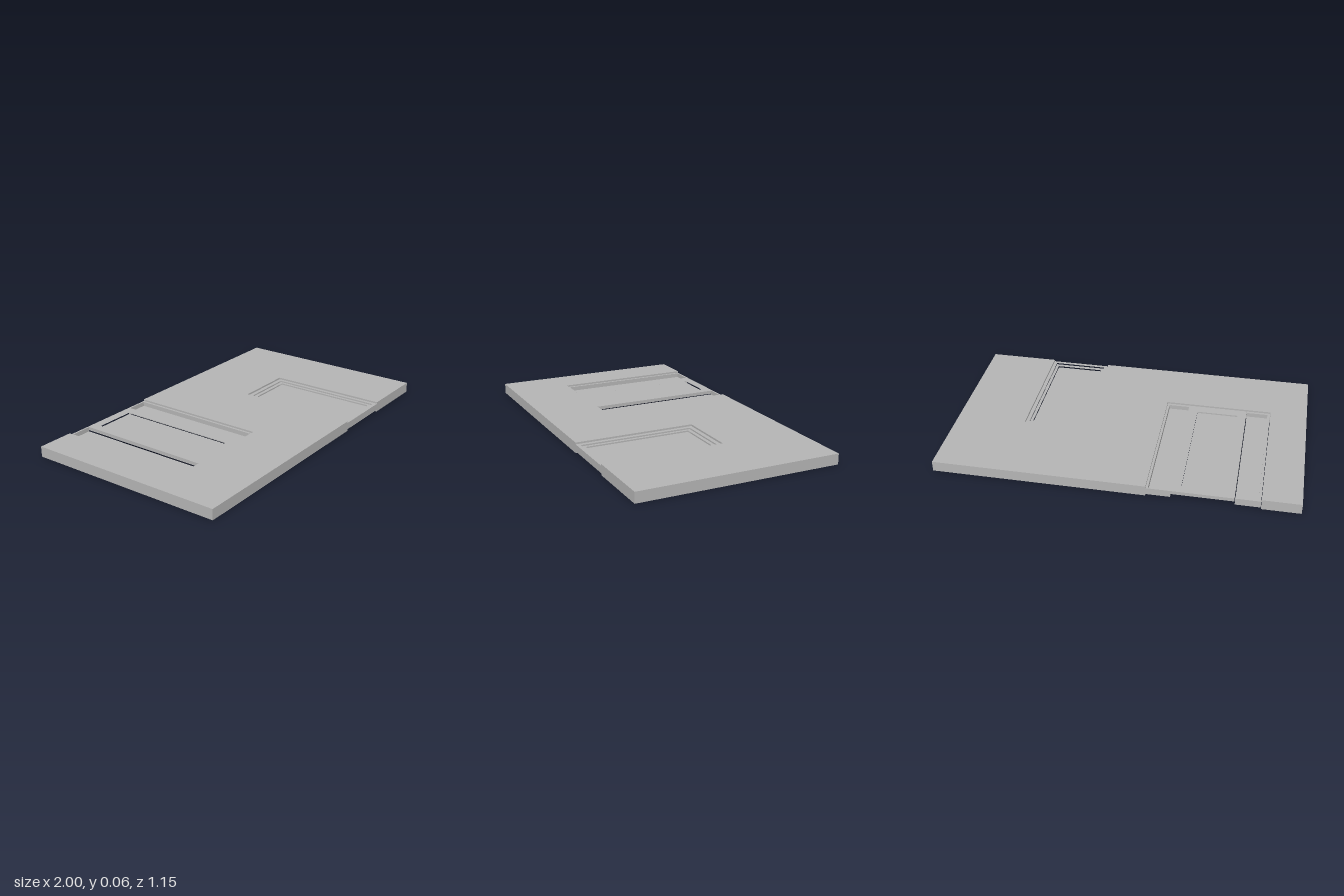
import * as THREE from 'three';

const grey = new THREE.MeshStandardMaterial({ color: 0xb4b4b4 });
grey.name = 'plain grey';

// corner points of a rectangle in plan, as [x, z]
const rect = (x0, x1, z0, z1) => [[x0, z0], [x1, z0], [x1, z1], [x0, z1]];
const toVec = (pts) => pts.map(([x, z]) => new THREE.Vector2(x, -z));

// flat plate lying in plan between heights y0 and y1, with optional holes
function plate(name, outline, y0, y1, holes = []) {
  const shape = new THREE.Shape(toVec(outline));
  holes.forEach((h) => shape.holes.push(new THREE.Path(toVec(h))));
  const geo = new THREE.ExtrudeGeometry(shape, { depth: y1 - y0, bevelEnabled: false });
  geo.rotateX(-Math.PI / 2).translate(0, y0, 0);
  const mesh = new THREE.Mesh(geo, grey);
  mesh.name = name;
  return mesh;
}

export function createModel() {
  const model = new THREE.Group();
  model.name = 'wallPanel';
  const Z = 0.577;

  // wall slab, notched on both long edges for the two openings
  model.add(plate('wall', [
    [-1, -Z], [-0.79, -Z], [-0.79, 0.23], [-0.18, 0.23], [-0.18, -Z], [1, -Z],
    [1, Z], [0.605, Z], [0.605, -0.12], [0.255, -0.12], [0.255, Z], [-1, Z],
  ], 0, 0.06));

  // wide opening: centre panel on the upper track, side panels on the lower one
  const wide = new THREE.Group();
  wide.name = 'wideDoor';
  const centreHole = rect(-0.6, -0.365, -0.525, 0.175);
  wide.add(plate('centrePanelFrame', rect(-0.65, -0.31, -Z, 0.23), 0.03, 0.05, [centreHole]));
  wide.add(plate('centrePanelInset', centreHole, 0.035, 0.042));
  for (const side of [-1, 1]) {
    const x = (d) => -0.483 + side * d;
    const [outer, rim, inner] = [x(0.305), x(0.29), x(0.17)];
    // rim runs round three sides and is open towards the centre panel
    wide.add(plate('sidePanelRim', [
      [inner, -Z], [outer, -Z], [outer, 0.23], [inner, 0.23],
      [inner, 0.215], [rim, 0.215], [rim, -0.567], [inner, -0.567],
    ], 0.01, 0.05));
    wide.add(plate('sidePanelInset', rect(Math.min(rim, inner), Math.max(rim, inner), -0.567, 0.215), 0.015, 0.025));
  }
  model.add(wide);

  // narrow opening: nested frames stepping down to a thin inset
  const narrow = new THREE.Group();
  narrow.name = 'narrowDoor';
  const outer = rect(0.255, 0.605, -0.12, Z);
  const middle = rect(0.278, 0.585, -0.097, 0.557);
  const inner = rect(0.295, 0.568, -0.077, 0.535);
  narrow.add(plate('doorFrame', outer, 0.01, 0.05, [middle]));
  narrow.add(plate('doorLeaf', middle, 0.018, 0.042, [inner]));
  narrow.add(plate('doorInset', inner, 0.026, 0.034));
  model.add(narrow);

  return model;
}
